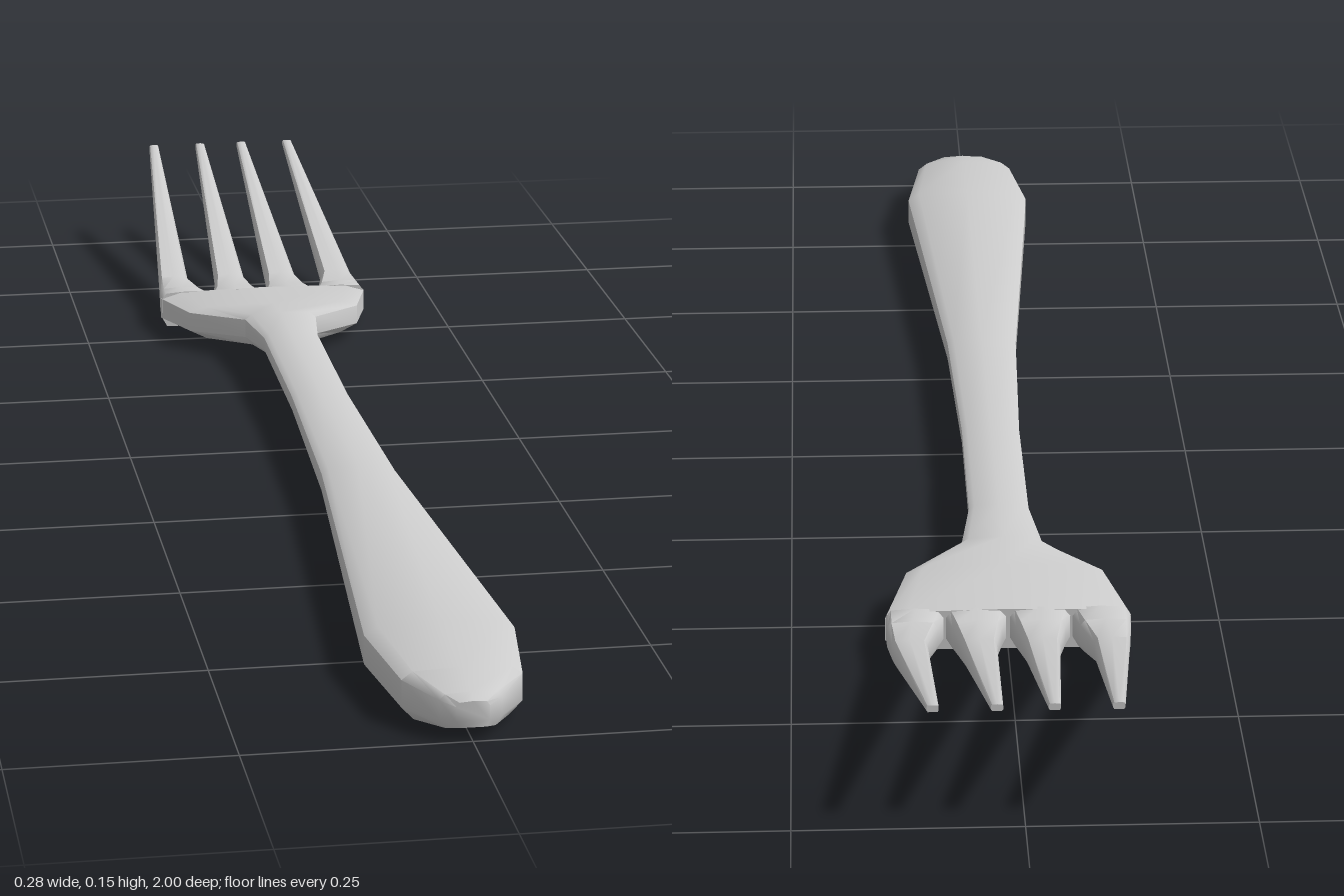
import * as THREE from 'three';
import { toCreasedNormals } from 'three/addons/utils/BufferGeometryUtils.js';

// Bevelled cross-section, counter-clockwise: [across, up], each from -1 to 1
const SECTION = [
  [1, -0.5], [1, 0.6], [0.82, 0.92], [0, 1], [-0.82, 0.92],
  [-1, 0.6], [-1, -0.5], [-0.8, -1], [0.8, -1],
];

// Loft through stations [z, xMin, xMax, yBottom, yTop], ordered from +z to -z
function loft(stations) {
  const n = SECTION.length, pos = [], idx = [];
  for (const [z, x0, x1, y0, y1] of stations) {
    for (const [u, v] of SECTION) {
      pos.push((x0 + x1) / 2 + u * (x1 - x0) / 2, (y0 + y1) / 2 + v * (y1 - y0) / 2, z);
    }
  }
  const last = (stations.length - 1) * n;
  for (let r = 0; r < last; r += n) {
    for (let j = 0; j < n; j++) {
      const k = (j + 1) % n;
      idx.push(r + j, r + n + j, r + k, r + k, r + n + j, r + n + k);
    }
  }
  for (let j = 1; j < n - 1; j++) {
    idx.push(0, j, j + 1, last, last + j + 1, last + j);
  }
  const g = new THREE.BufferGeometry();
  g.setAttribute('position', new THREE.Float32BufferAttribute(pos, 3));
  g.setIndex(idx);
  return toCreasedNormals(g, 0.85);
}

export function createModel() {
  const metal = new THREE.MeshStandardMaterial({ color: 0xcccccc });
  metal.name = 'silver metal';
  const group = new THREE.Group();
  group.name = 'fork';
  const add = (name, stations) => {
    const mesh = new THREE.Mesh(loft(stations), metal);
    mesh.name = name;
    group.add(mesh);
  };
  const symmetric = rows => rows.map(([z, w, y0, y1]) => [z, -w, w, y0, y1]);

  // Handle, neck and palm in one piece: [z, half width, bottom, top]
  add('handleAndPalm', symmetric([
    [1.0, 0.018, 0.02, 0.05],
    [0.985, 0.034, 0.015, 0.055],
    [0.935, 0.066, 0.007, 0.064],
    [0.8, 0.084, 0.005, 0.066],
    [0.25, 0.045, 0.024, 0.063],
    [-0.05, 0.036, 0.033, 0.064],
    [-0.3, 0.036, 0.038, 0.068],
    [-0.395, 0.048, 0.024, 0.068],
    [-0.46, 0.115, 0.016, 0.062],
    [-0.565, 0.142, 0.004, 0.054],
  ]));

  // Tines, mirrored in pairs: [z, inner x, outer x, bottom, top]
  const tines = {
    inner: [
      [-0.56, 0.001, 0.073, 0.005, 0.054],
      [-0.59, 0.008, 0.065, 0.009, 0.052],
      [-0.64, 0.016, 0.056, 0.02, 0.053],
      [-1.0, 0.024, 0.037, 0.142, 0.15],
    ],
    outer: [
      [-0.56, 0.073, 0.141, 0.005, 0.054],
      [-0.59, 0.082, 0.14, 0.009, 0.052],
      [-0.64, 0.095, 0.135, 0.02, 0.053],
      [-1.0, 0.092, 0.105, 0.142, 0.15],
    ],
  };
  for (const [name, rows] of Object.entries(tines)) {
    add(name + 'TineLeft', rows);
    add(name + 'TineRight', rows.map(([z, a, b, y0, y1]) => [z, -b, -a, y0, y1]));
  }
  return group;
}
